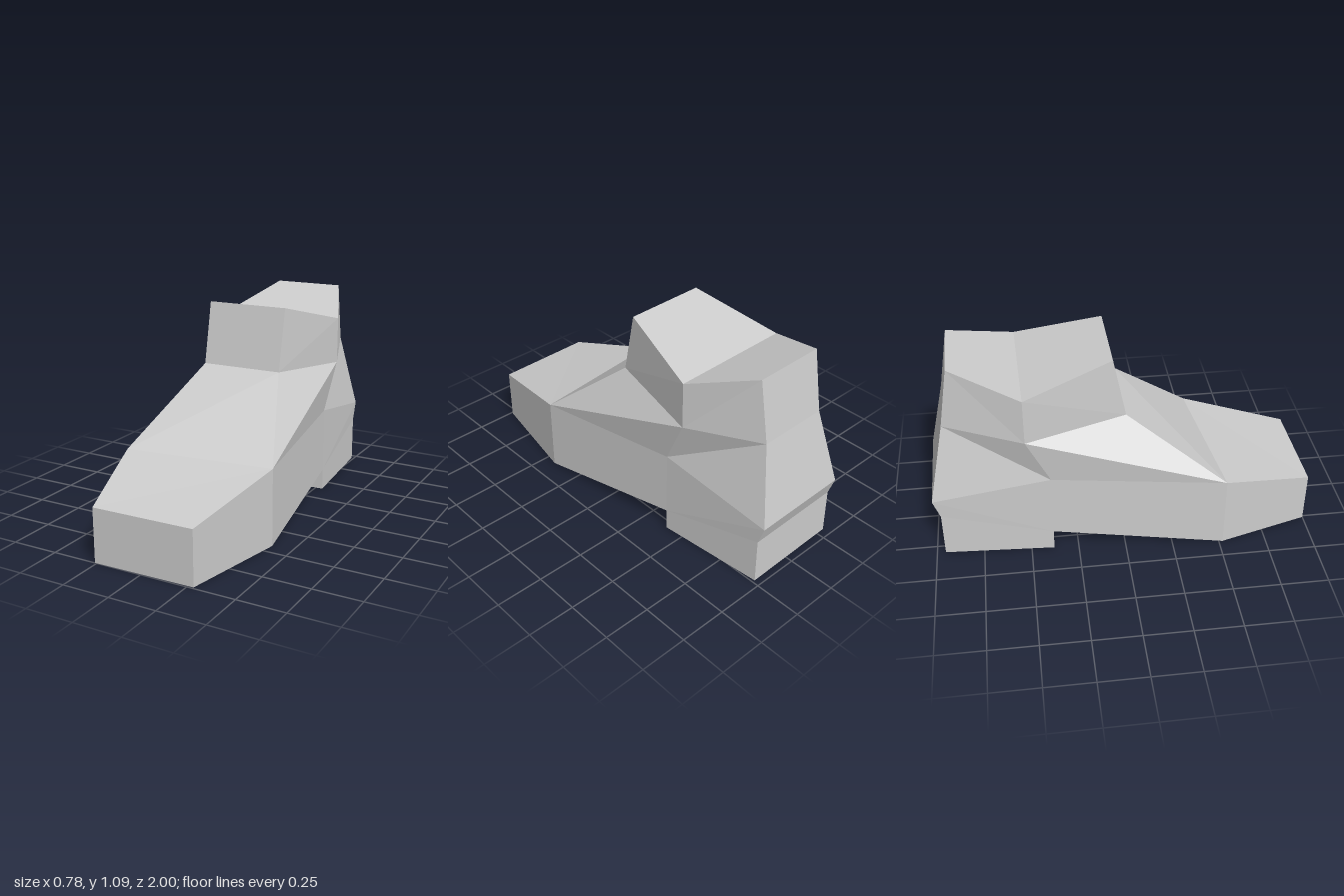
import * as THREE from 'three';

// Outline stations: y, then x and z on the right side, then x and z on the left side
const P = {
  toeBottom: [0, -0.26, 1, 0.28, 0.99],
  toeTop: [0.283, -0.26, 1, 0.28, 0.99],
  ballBottom: [0, -0.395, 0.52, 0.39, 0.43],
  ballTop: [0.403, -0.395, 0.52, 0.39, 0.43],
  ankleFront: [0.763, -0.23, 0.015, 0.206, 0.008],
  rimFront: [1.087, -0.23, -0.05, 0.206, -0.058],
  rimSide: [0.965, -0.35, -0.5, 0.307, -0.515],
  rimBack: [1.087, -0.22, -0.85, 0.16, -0.857],
  ankleBack: [0.765, -0.22, -0.903, 0.16, -0.91],
  ankleSide: [0.718, -0.35, -0.5, 0.307, -0.515],
  heelBulge: [0.35, -0.3, -0.99, 0.235, -1],
  heelNotch: [0.25, -0.3, -0.955, 0.235, -0.965],
  heelBottom: [0, -0.3, -0.955, 0.235, -0.965],
  breastBottom: [0, -0.333, -0.38, 0.29, -0.393],
  breastTop: [0.115, -0.333, -0.38, 0.29, -0.393],
  archSide: [0.465, -0.333, -0.38, 0.29, -0.393],
};
const right = (n) => [P[n][1], P[n][0], P[n][2]];
const left = (n) => [P[n][3], P[n][0], P[n][4]];

// Strips run across the boot along a path; walls are mirrored side polygons
function part(name, material, path, walls) {
  const pos = [];
  const quad = (a, b, c, d) => pos.push(...a, ...b, ...c, ...a, ...c, ...d);
  for (let i = 0; i + 1 < path.length; i++) {
    const [p, q] = [path[i], path[i + 1]];
    quad(right(p), left(p), left(q), right(q));
  }
  for (const [a, b, c, d] of walls) {
    quad(left(a), left(b), left(c), left(d));
    // reversed winding, same diagonal
    quad(right(a), right(d), right(c), right(b));
  }
  const geo = new THREE.BufferGeometry();
  geo.setAttribute('position', new THREE.Float32BufferAttribute(pos, 3));
  geo.computeVertexNormals();
  const mesh = new THREE.Mesh(geo, material);
  mesh.name = name;
  return mesh;
}

export function createModel() {
  const grey = new THREE.MeshStandardMaterial({ color: 0xcccccc, flatShading: true });
  grey.name = 'light grey';
  const boot = new THREE.Group();
  boot.name = 'boot';

  boot.add(
    part('toe', grey, ['toeBottom', 'toeTop', 'ballTop'],
      [['toeBottom', 'ballBottom', 'ballTop', 'toeTop']]),
    part('instep', grey, ['ballTop', 'ankleFront'], [
      ['ballBottom', 'breastTop', 'archSide', 'ballTop'],
      ['ballTop', 'archSide', 'ankleSide', 'ankleFront'],
    ]),
    part('shaftFront', grey, ['ankleFront', 'rimFront'],
      [['ankleFront', 'ankleSide', 'rimSide', 'rimFront']]),
    part('shaftBack', grey, ['rimBack', 'ankleBack'],
      [['ankleSide', 'ankleBack', 'rimBack', 'rimSide']]),
    part('shaftTop', grey, ['rimFront', 'rimSide', 'rimBack'], []),
    part('heelCounter', grey, ['ankleBack', 'heelBulge', 'heelNotch'], [
      ['archSide', 'heelBulge', 'ankleBack', 'ankleSide'],
      ['breastTop', 'heelNotch', 'heelBulge', 'archSide'],
    ]),
    part('heel', grey, ['heelNotch', 'heelBottom', 'breastBottom', 'breastTop'],
      [['breastBottom', 'heelBottom', 'heelNotch', 'breastTop']]),
    part('sole', grey, ['breastTop', 'ballBottom', 'toeBottom'], []),
  );
  return boot;
}
